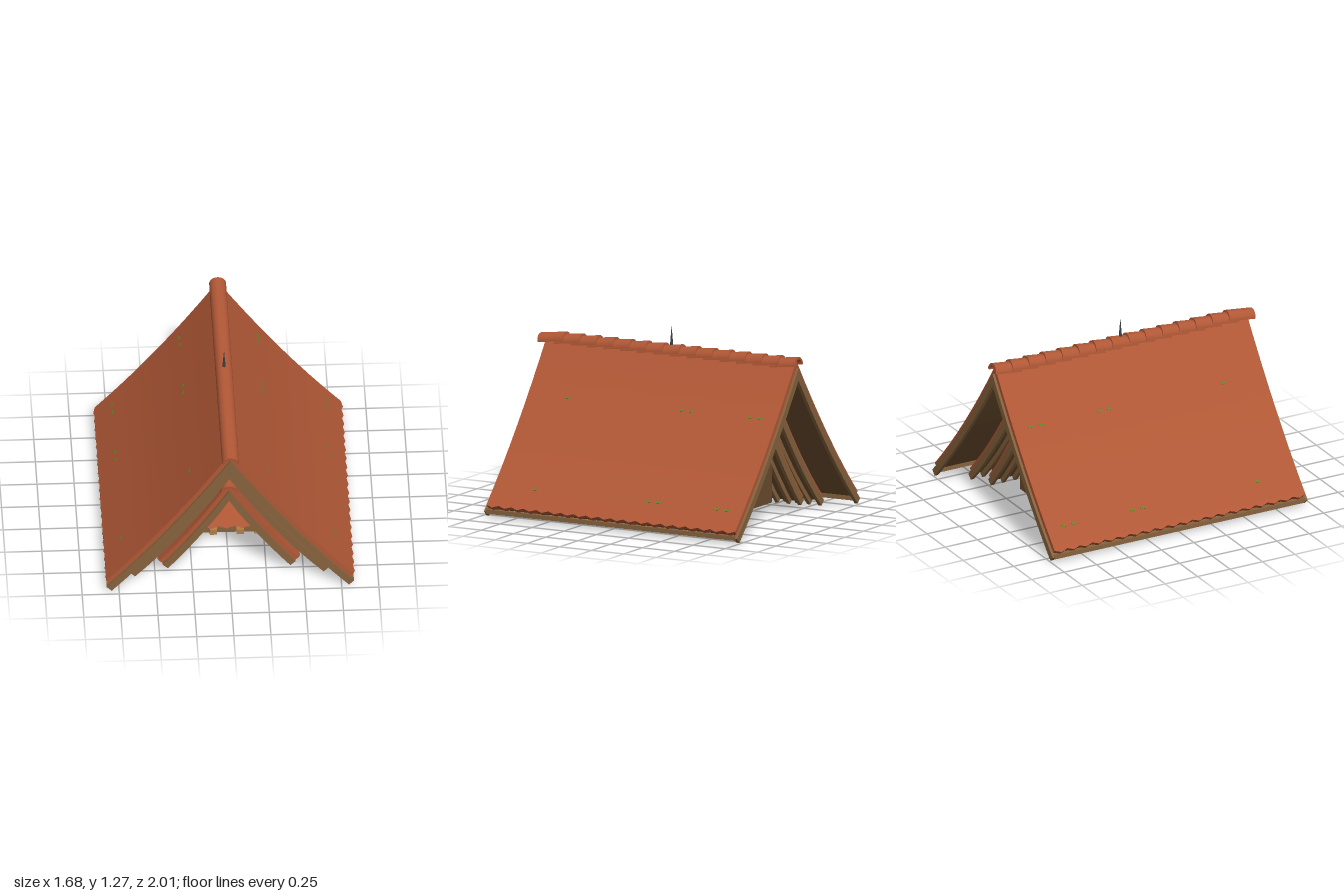
import * as THREE from 'three';
import { toCreasedNormals } from 'three/addons/utils/BufferGeometryUtils.js';

const mat = (name, color, side = THREE.FrontSide) => {
  const m = new THREE.MeshStandardMaterial({ color, side });
  m.name = name;
  return m;
};

export function createModel() {
  const model = new THREE.Group();
  const tile = mat('terracotta', 0xb15836);
  const tileBoth = mat('skirt terracotta', 0xb15836, THREE.DoubleSide);
  const wood = mat('brown wood', 0x87633d);
  const darkWood = mat('dark wood', 0x6c4d2e);
  const lightWood = mat('light wood', 0xb07f48);
  const plaster = mat('plaster', 0xa39a7c);
  const slate = mat('slate grey', 0x5f6876);
  const iron = mat('dark iron', 0x3c3f46);
  const moss = mat('moss', 0x5f8a25);

  const add = (parent, name, geo, material, x = 0, y = 0, z = 0) => {
    const m = new THREE.Mesh(geo, material);
    m.name = name;
    m.position.set(x, y, z);
    parent.add(m);
    return m;
  };
  const box = (parent, name, w, h, d, material, x, y, z) =>
    add(parent, name, new THREE.BoxGeometry(w, h, d), material, x, y, z);

  // Sagging roof lines: apex height, fall and sag, eave position, half length, rafter distances
  const MAIN = { apex: 1.12, fall: 1.463, sag: 0.26, xEnd: 0.83, lip: 0.025, zHalf: 0.983, zMid: -0.013, rafters: [0.97] };
  const MIDDLE = { apex: 0.945, fall: 1.6, sag: 0.45, xEnd: 0.68, lip: 0.01, zHalf: 0.81, zMid: 0, rafters: [0.797, 0.71, 0.62, 0.53] };
  const INNER = { apex: 0.73, fall: 1.596, sag: 0.5, xEnd: 0.47, lip: 0, zHalf: 0.78, zMid: 0, rafters: [0.767, 0.68, 0.59, 0.5] };
  const lineY = (r, x) => r.apex - r.fall * x + r.sag * x * x;
  const slopeAt = (r, x) => 2 * r.sag * x - r.fall;
  const offsetPoint = (r, x, d) => {
    const slope = slopeAt(r, x), len = Math.hypot(1, slope);
    if (x === 0) return new THREE.Vector2(0, lineY(r, 0) - d * len);
    return new THREE.Vector2(x + (slope * d) / len, lineY(r, x) - d / len);
  };
  // Cross-section of one slope between two depths below the roof line
  const bandShape = (r, side, xEnd, d0, d1) => {
    const outer = [], inner = [];
    for (let i = 0; i <= 8; i++) {
      const x = (xEnd * i) / 8;
      outer.push(offsetPoint(r, x, d0));
      inner.unshift(offsetPoint(r, x, d1));
    }
    const pts = outer.concat(inner);
    pts.forEach((p) => { p.x = Math.max(p.x, 0) * side; });
    return new THREE.Shape(pts);
  };
  const band = (r, side, xEnd, d0, d1, z0, z1, steps = 1) => {
    const g = new THREE.ExtrudeGeometry(bandShape(r, side, xEnd, d0, d1),
      { depth: z1 - z0, steps, bevelEnabled: false });
    return g.translate(0, 0, z0);
  };

  // Hollow, overlapping half-round ridge tiles, each tipped towards the front
  const halfRound = new THREE.Shape();
  halfRound.absarc(0, 0, 0.057, 0, Math.PI, false);
  halfRound.absarc(0, 0, 0.04, Math.PI, 0, true);
  const ridgeGeo = toCreasedNormals(new THREE.ExtrudeGeometry(halfRound,
    { depth: 0.2, bevelEnabled: false, curveSegments: 10 }).translate(0, 0, -0.1), 0.6);
  const ridgeTiles = (parent, y, zFront, zBack, count) => {
    const pitch = (zFront - zBack - 0.2) / (count - 1);
    for (let i = 0; i < count; i++) {
      const t = add(parent, 'ridgeTile', ridgeGeo, tile, 0, y, zFront - 0.1 - i * pitch);
      t.rotation.x = 0.12;
    }
  };

  // One complete gable roof: tiles, soffit, rafters and ridge
  const gableRoof = (name, r, ridgeCount) => {
    const roof = new THREE.Group();
    roof.name = name;
    roof.position.z = r.zMid;
    model.add(roof);
    const zSheet = r.zHalf - 0.018, steps = 2 * Math.round(r.zHalf * 20);
    for (const side of [1, -1]) {
      const sheet = band(r, side, r.xEnd, 0, 0.03, -zSheet, zSheet, steps);
      // Scalloped eave: every other row of the lower edge reaches further down
      const p = sheet.attributes.position, pitch = (2 * zSheet) / steps;
      for (let i = 0; i < p.count; i++) {
        const row = Math.round((p.getZ(i) + zSheet) / pitch);
        if (Math.abs(p.getX(i)) > r.xEnd - 0.045 && row % 2 === 1) {
          p.setXY(i, p.getX(i) + side * 0.012, p.getY(i) - 0.013);
        }
      }
      sheet.computeVertexNormals();
      add(roof, 'tileSlope', toCreasedNormals(sheet, 0.3), tile);
      add(roof, 'soffit', band(r, side, r.xEnd, 0.031, 0.045, -zSheet, zSheet), darkWood);
      for (const dist of r.rafters) for (const end of [1, -1]) {
        const z = end * dist;
        add(roof, 'rafter', band(r, side, r.xEnd + r.lip, 0.03, 0.077, z - 0.0125, z + 0.0125), wood);
      }
    }
    ridgeTiles(roof, r.apex - 0.043, r.zHalf + 0.017 - r.zMid, -r.zHalf - 0.004, ridgeCount);
  };
  gableRoof('mainRoof', MAIN, 15);
  gableRoof('middleRoof', MIDDLE, 13);
  gableRoof('innerRoof', INNER, 13);

  // Eave battens, plaster infill between the nested roofs, and purlin stubs on it
  for (const side of [1, -1]) {
    box(model, 'eaveBatten', 0.035, 0.03, 1.93, wood, side * 0.815, 0.038, MAIN.zMid);
    add(model, 'plasterInfill', new THREE.ShapeGeometry(bandShape(MAIN, side, 0.75, 0.04, 0.16)), plaster, 0, 0, 0.1);
    add(model, 'plasterInfill', new THREE.ShapeGeometry(bandShape(MIDDLE, side, 0.58, 0.04, 0.18)), plaster, 0, 0, 0.08);
    box(model, 'infillRail', 0.16, 0.02, 0.02, wood, side * 0.66, 0.115, 0.11);
    for (const [r, count, reach] of [[MAIN, 6, 0.83], [MIDDLE, 3, 0.5]]) {
      for (let i = 1; i <= count; i++) {
        const x = (reach * (i + 0.4)) / (count + 1);
        const c = offsetPoint(r, x, 0.078);
        const stub = box(model, 'purlinStub', 0.045, 0.04, 0.04, lightWood, side * c.x, c.y, 0.11);
        stub.rotation.z = side * Math.atan(slopeAt(r, x));
      }
    }
  }
  for (const r of [MAIN, MIDDLE]) {
    box(model, 'ridgeBeam', 0.035, 0.06, 2 * r.zHalf - 0.08, slate, 0, r.apex - 0.145, 0);
  }

  // Rear wall closing the inner gable
  const wall = new THREE.Shape([[-0.17, 0.09], [0.17, 0.09], [0.17, 0.42], [0, 0.63], [-0.17, 0.42]]
    .map(([x, y]) => new THREE.Vector2(x, y)));
  add(model, 'rearWall', new THREE.ExtrudeGeometry(wall, { depth: 0.02, bevelEnabled: false }), darkWood, 0, 0, -0.69);

  // Hipped skirt roof with a zigzag lower edge on each side
  const skirt = new THREE.Group();
  skirt.name = 'skirtRoof';
  model.add(skirt);
  const BX = 0.47, BZ = 0.44, TX = 0.14, TZ = 0.14, Y0 = 0.13, Y1 = 0.62;
  const hipSide = (w, topW, reach, topReach) => {
    const pts = [new THREE.Vector2(topW, 1), new THREE.Vector2(-topW, 1)];
    for (let i = 0; i <= 18; i++) pts.push(new THREE.Vector2(-w + (i * w) / 9, i % 2 ? -0.035 : 0));
    const g = new THREE.ShapeGeometry(new THREE.Shape(pts));
    const p = g.attributes.position;
    for (let i = 0; i < p.count; i++) {
      const t = p.getY(i);
      p.setXYZ(i, p.getX(i), Y0 + t * (Y1 - Y0), reach + t * (topReach - reach));
    }
    g.computeVertexNormals();
    return g;
  };
  for (let k = 0; k < 4; k++) {
    const g = k % 2 ? hipSide(BZ, TZ, BX, TX) : hipSide(BX, TX, BZ, TZ);
    add(skirt, 'hipSlope', g, tileBoth).rotation.y = (k * Math.PI) / 2;
  }
  // Stepped tiles along the four hips
  const hipGeo = new THREE.CylinderGeometry(0.022, 0.028, 0.1, 8);
  for (const sx of [1, -1]) for (const sz of [1, -1]) {
    const a = new THREE.Vector3(sx * BX, Y0, sz * BZ), b = new THREE.Vector3(sx * TX, Y1, sz * TZ);
    const dir = b.clone().sub(a).normalize();
    for (let i = 0; i < 8; i++) {
      const t = add(skirt, 'hipTile', hipGeo, tile);
      t.position.lerpVectors(a, b, (i + 0.4) / 8);
      t.quaternion.setFromUnitVectors(new THREE.Vector3(0, 1, 0), dir);
    }
  }

  // Timber frame under the skirt, with projecting rafter ends
  const frame = new THREE.Group();
  frame.name = 'baseFrame';
  model.add(frame);
  for (const s of [1, -1]) {
    box(frame, 'outerBeam', 0.88, 0.04, 0.05, wood, 0, 0.066, s * 0.375);
    box(frame, 'outerBeam', 0.05, 0.04, 0.7, wood, s * 0.405, 0.066, 0);
    box(frame, 'upperBeam', 0.72, 0.025, 0.05, wood, 0, 0.1, s * 0.36);
    box(frame, 'upperBeam', 0.05, 0.025, 0.68, wood, s * 0.38, 0.1, 0);
    box(frame, 'innerBeam', 0.56, 0.045, 0.05, wood, 0, 0.075, s * 0.22);
    box(frame, 'innerBeam', 0.05, 0.045, 0.4, wood, s * 0.255, 0.075, 0);
    for (const x of [-0.34, -0.21, -0.09, 0.09, 0.21, 0.34]) {
      box(frame, 'rafterEnd', 0.05, 0.04, 0.09, lightWood, x, 0.068, s * 0.385);
    }
    for (const z of [-0.28, -0.17, -0.06, 0.06, 0.17, 0.28]) {
      box(frame, 'rafterEnd', 0.09, 0.04, 0.05, lightWood, s * 0.415, 0.068, z);
    }
  }
  box(frame, 'ceiling', 0.84, 0.04, 0.78, darkWood, 0, 0.125, 0);
  box(frame, 'ceilingPanel', 0.34, 0.01, 0.26, slate, 0, 0.1, 0);
  box(frame, 'ceilingBar', 0.46, 0.03, 0.03, wood, 0, 0.085, 0);

  // Finial spike on the ridge
  add(model, 'finial', new THREE.ConeGeometry(0.014, 0.17, 8), iron, 0, 1.185, -0.01);

  // Small moss patches lying on the main slopes
  for (const side of [1, -1]) for (const y of [0.75, 0.2]) {
    const { apex, fall, sag } = MAIN;
    const x = (fall - Math.sqrt(fall * fall - 4 * sag * (apex - y))) / (2 * sag);
    for (const z of [0.64, -0.24, -0.32, -0.77, -0.85]) {
      const m = box(model, 'mossPatch', 0.014, 0.006, 0.032, moss, side * x, y + 0.001, z);
      m.rotation.z = side * Math.atan(slopeAt(MAIN, x));
    }
  }

  return model;
}
